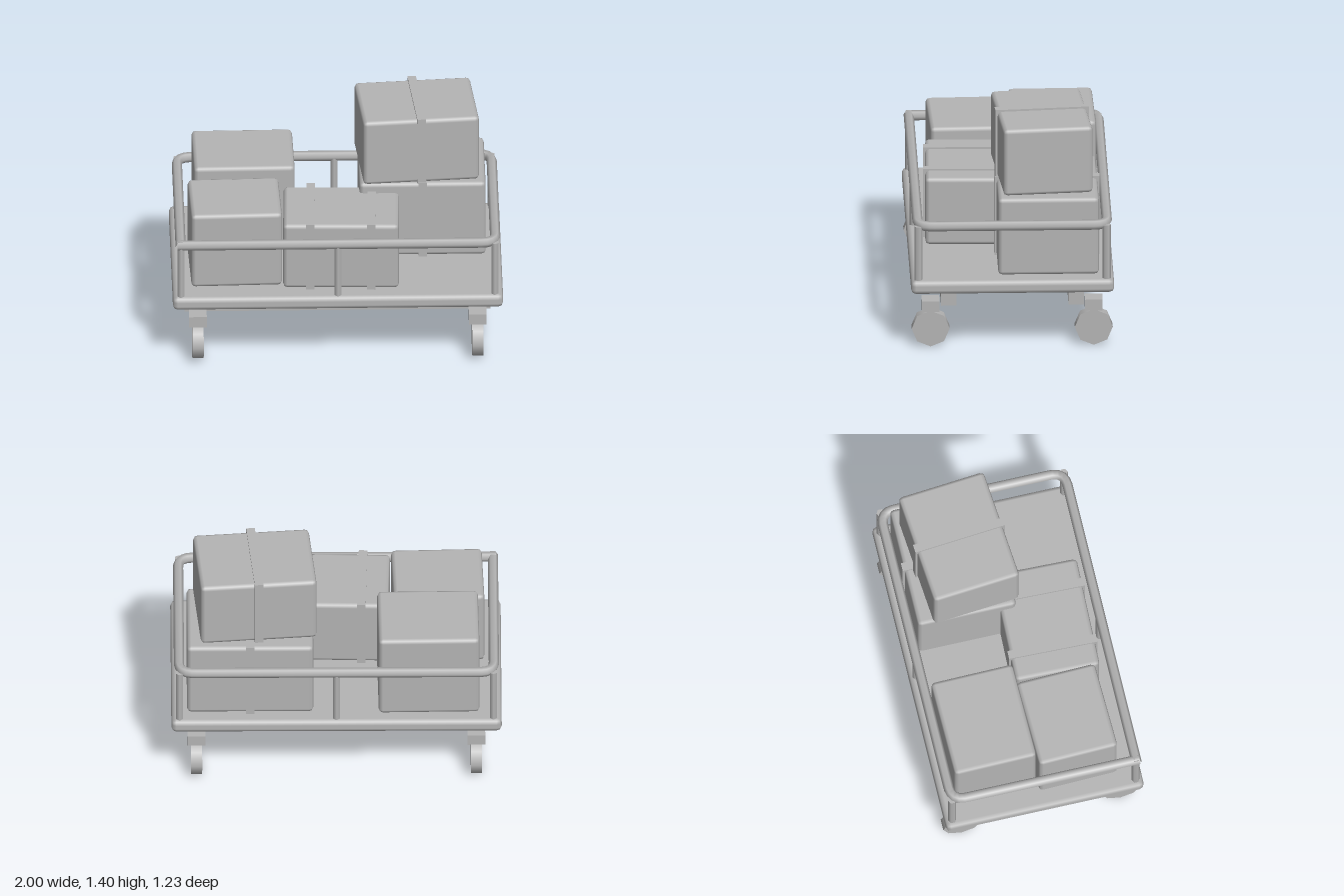
import * as THREE from 'three';
import { RoundedBoxGeometry } from 'three/addons/geometries/RoundedBoxGeometry.js';

export function createModel() {
  const model = new THREE.Group();
  model.name = 'luggageCart';
  const grey = new THREE.MeshStandardMaterial({ name: 'plain grey', color: 0xb5b5b5 });

  const add = (name, geometry, x, y, z, parent = model) => {
    const mesh = new THREE.Mesh(geometry, grey);
    mesh.name = name;
    mesh.position.set(x, y, z);
    parent.add(mesh);
    return mesh;
  };

  // Bevelled deck with two runners below it
  add('deck', new RoundedBoxGeometry(2, 0.085, 1.23, 1, 0.03), 0, 0.418, 0);
  for (const side of [-1, 1]) {
    add('runner', new THREE.BoxGeometry(1.85, 0.1, 0.093), 0, 0.33, side * 0.386);
  }

  // Casters: mounting block and eight-sided wheel
  const wheelGeometry = new THREE.CylinderGeometry(0.115, 0.115, 0.068, 8).rotateZ(Math.PI / 2);
  const blockGeometry = new THREE.BoxGeometry(0.107, 0.07, 0.107);
  for (const x of [-0.847, 0.847]) {
    for (const z of [-0.494, 0.494]) {
      add('casterBlock', blockGeometry, x, 0.265, z);
      add('wheel', wheelGeometry, x, 0.116, z);
    }
  }

  // Posts on the two long sides
  const postGeometry = new THREE.CylinderGeometry(0.025, 0.025, 0.35, 6);
  for (const x of [-0.95, 0, 0.95]) {
    for (const z of [-0.57, 0.57]) add('post', postGeometry, x, 0.63, z);
  }

  // Handrail: three rounded corners, starting and ending at the front left one
  const X = 0.953, Z = 0.573, R = 0.09, Y = 0.805;
  const point = (x, z) => new THREE.Vector3(x, Y, z);
  const path = new THREE.CurvePath();
  const line = (a, b) => path.add(new THREE.LineCurve3(a, b));
  const bend = (a, b, c) => path.add(new THREE.QuadraticBezierCurve3(a, b, c));
  line(point(-X - 0.02, Z), point(X - R, Z));
  bend(point(X - R, Z), point(X, Z), point(X, Z - R));
  line(point(X, Z - R), point(X, R - Z));
  bend(point(X, R - Z), point(X, -Z), point(X - R, -Z));
  line(point(X - R, -Z), point(R - X, -Z));
  bend(point(R - X, -Z), point(-X, -Z), point(-X, R - Z));
  line(point(-X, R - Z), point(-X, Z + 0.02));
  add('handrail', new THREE.TubeGeometry(path, 200, 0.031, 6, false), 0, 0, 0);

  // Cases, each turned a little, with optional straps around them
  const cases = [
    { name: 'backLeftCase', size: [0.61, 0.553, 0.51], at: [-0.557, 0.462, -0.282], turn: 0.015, straps: [] },
    { name: 'frontLeftCase', size: [0.55, 0.49, 0.49], at: [-0.617, 0.462, 0.222], turn: 0.03, straps: [] },
    { name: 'frontMiddleCase', size: [0.7, 0.43, 0.52], at: [0.026, 0.462, 0.243], turn: -0.025, straps: [-0.186, 0.184] },
    { name: 'rightCase', size: [0.765, 0.493, 0.61], at: [0.5225, 0.462, -0.22], turn: 0, straps: [0] },
    { name: 'topCase', size: [0.705, 0.427, 0.543], at: [0.4925, 0.958, -0.19], turn: 0.087, straps: [0] },
  ];
  for (const { name, size: [w, h, d], at, turn, straps } of cases) {
    const group = new THREE.Group();
    group.name = name;
    group.position.set(...at);
    group.rotation.y = turn;
    add('caseBody', new RoundedBoxGeometry(w, h, d, 1, 0.025), 0, h / 2, 0, group);
    for (const x of straps) {
      add('strap', new THREE.BoxGeometry(0.052, h + 0.012, d + 0.026), x, h / 2 + 0.006, 0, group);
    }
    model.add(group);
  }
  return model;
}
